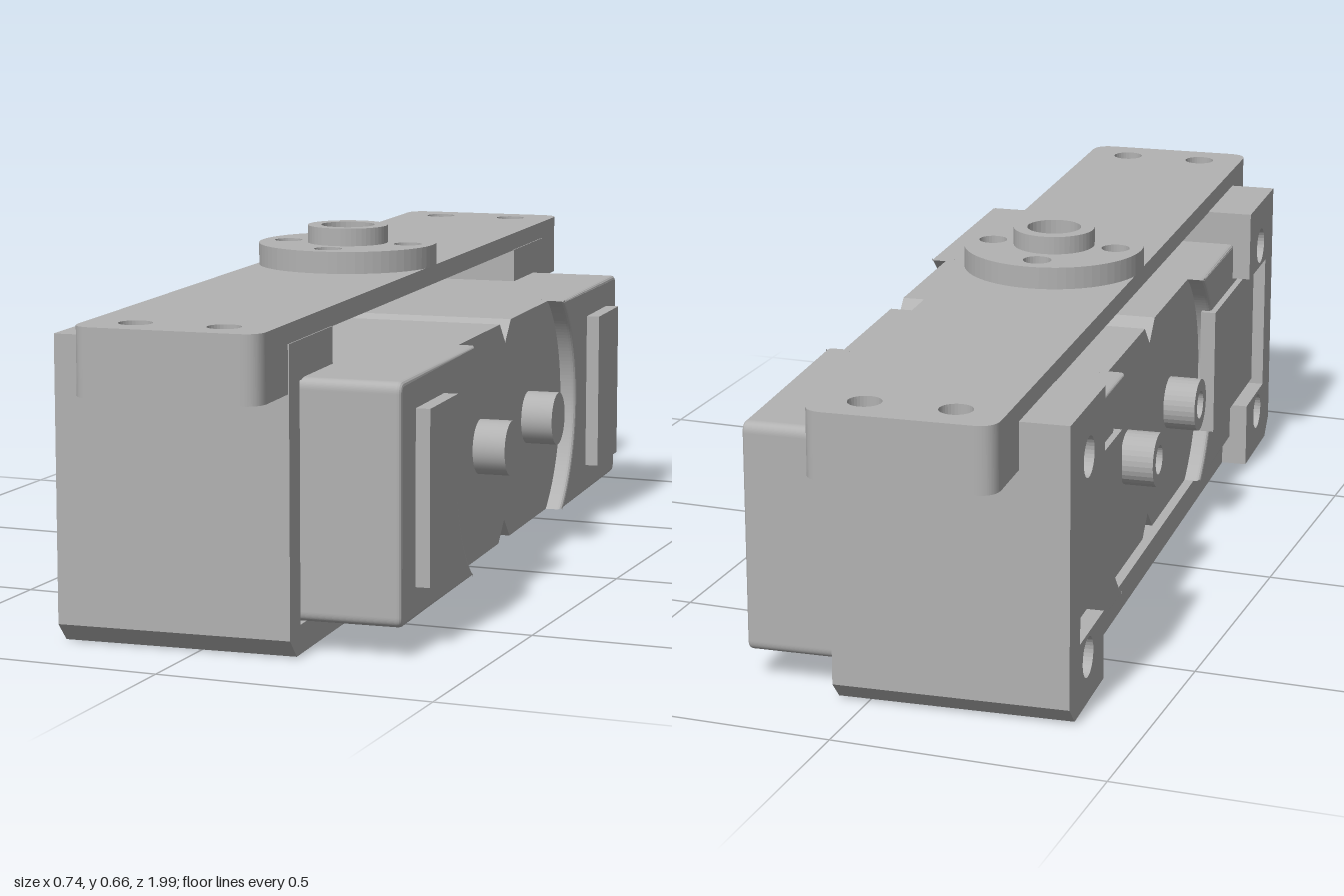
import * as THREE from 'three';

const grey = new THREE.MeshStandardMaterial({ color: 0xb2b2b2 });
grey.name = 'plainGrey';

const poly = pts => new THREE.Shape(pts.map(p => new THREE.Vector2(p[0], p[1])));
const circle = (x, y, r, sides = 32, turn = 0) => {
  const pts = [];
  for (let i = 0; i < sides; i++) {
    const a = turn + (i / sides) * Math.PI * 2;
    pts.push(new THREE.Vector2(x + r * Math.cos(a), y + r * Math.sin(a)));
  }
  return pts;
};
const hole = (...args) => new THREE.Path(circle(...args));

// Side profile (z, y) extruded across x from x0 to x1
function across(shape, x0, x1, bevel = 0) {
  const geo = new THREE.ExtrudeGeometry(shape, {
    depth: x1 - x0 - 2 * bevel, bevelEnabled: bevel > 0, bevelSize: bevel,
    bevelThickness: bevel, bevelOffset: -bevel, bevelSegments: 3, curveSegments: 32,
  });
  return geo.rotateY(-Math.PI / 2).translate(x1 - bevel, 0, 0);
}
// Plan outline (x, -z) extruded upwards from y0 to y1
function upward(shape, y0, y1) {
  const geo = new THREE.ExtrudeGeometry(shape, { depth: y1 - y0, bevelEnabled: false, curveSegments: 24 });
  return geo.rotateX(-Math.PI / 2).translate(0, y0, 0);
}
function add(parent, name, geo) {
  const mesh = new THREE.Mesh(geo, grey);
  mesh.name = name;
  parent.add(mesh);
  return mesh;
}

// Key sizes
const MID = 0.269, HALF = 0.214, END = 0.785;   // inner case
const SHAFT_Z = 0.175, LOBE = 0.26;             // shafts and round recess
const HX = -0.054;                              // hub centre
const BL = -0.223, BR = 0.115, BE = 0.988;      // top bar

function makeCradle(g) {
  // Cradle with floor, end walls and shoulders under the bar
  const half = [[0.81, 0], [0.845, 0.035], [0.845, 0.55], [0.61, 0.55], [0.61, 0.48], [0.79, 0.48], [0.79, 0.052]];
  const other = half.map(p => [-p[0], p[1]]).reverse();
  add(g, 'cradle', across(poly([...half, ...other]), -0.262, 0.117));

  // Screw lugs with a notch between the upper and lower ear
  for (const s of [1, -1]) {
    const pts = [[0.61, 0], [0.81, 0], [0.845, 0.035], [0.845, 0.55], [0.61, 0.55],
      [0.61, 0.41], [0.775, 0.41], [0.775, 0.13], [0.61, 0.13]].map(p => [p[0] * s, p[1]]);
    const shape = poly(s > 0 ? pts : pts.reverse());
    shape.holes.push(hole(0.72 * s, 0.455, 0.037), hole(0.72 * s, 0.085, 0.037));
    add(g, 'screwLugs', across(shape, -0.313, -0.262));
  }
}

function makeCase(g) {
  // Core with rounded corners and V grooves at the middle
  const r = 0.02, v = 0.04;
  const core = new THREE.Shape();
  core.moveTo(-END + r, -HALF);
  core.lineTo(-v, -HALF);
  core.lineTo(0, -HALF + v);
  core.lineTo(v, -HALF);
  core.lineTo(END - r, -HALF);
  core.quadraticCurveTo(END, -HALF, END, -HALF + r);
  core.lineTo(END, HALF - r);
  core.quadraticCurveTo(END, HALF, END - r, HALF);
  core.lineTo(v, HALF);
  core.lineTo(0, HALF - v);
  core.lineTo(-v, HALF);
  core.lineTo(-END + r, HALF);
  core.quadraticCurveTo(-END, HALF, -END, HALF - r);
  core.lineTo(-END, -HALF + r);
  core.quadraticCurveTo(-END, -HALF, -END + r, -HALF);
  add(g, 'caseCore', across(core, -0.245, 0.265)).position.y = MID;

  // Raised end covers, each bitten by a round lobe
  const a = Math.asin(HALF / LOBE), zb = SHAFT_Z + LOBE * Math.cos(a);
  const cover = new THREE.Shape();
  cover.moveTo(zb, -HALF);
  cover.lineTo(END - r, -HALF);
  cover.quadraticCurveTo(END, -HALF, END, -HALF + r);
  cover.lineTo(END, HALF - r);
  cover.quadraticCurveTo(END, HALF, END - r, HALF);
  cover.lineTo(zb, HALF);
  cover.absarc(SHAFT_Z, 0, LOBE, a, -a, true);
  const coverGeo = across(cover, 0.25, 0.297, 0.008);
  for (const side of [1, -1]) {
    const covers = new THREE.Group();
    covers.name = 'endCovers';
    covers.position.set(side > 0 ? 0 : 0.02, MID, 0);
    covers.rotation.y = side > 0 ? 0 : Math.PI;
    for (const turn of [0, Math.PI]) add(covers, 'endCover', coverGeo).rotation.x = turn;
    g.add(covers);
  }

  for (const s of [1, -1]) {
    // Pads on both sides
    const pad = add(g, 'rightPad', new THREE.BoxGeometry(0.04, 0.315, 0.172));
    pad.position.set(0.303, MID, 0.613 * s);
    const inner = add(g, 'leftPad', new THREE.BoxGeometry(0.03, 0.255, 0.38));
    inner.position.set(-0.274, MID, 0.58 * s);

    // Solid shafts on the right, hollow ones on the left
    const shaft = add(g, 'rightShaft', new THREE.CylinderGeometry(0.052, 0.052, 0.08, 32));
    shaft.rotation.z = Math.PI / 2;
    shaft.position.set(0.287, MID, SHAFT_Z * s);
    const ring = new THREE.Shape(circle(SHAFT_Z * s, MID, 0.052));
    ring.holes.push(hole(SHAFT_Z * s, MID, 0.028));
    add(g, 'leftShaft', across(ring, -0.308, -0.24));
  }
}

// Bar outline with rounded outer corners; z0 is its inner end
function barOutline(z0, r) {
  const s = new THREE.Shape();
  s.moveTo(BL, z0);
  if (z0 < 0) {
    s.moveTo(BL + r, -BE);
    s.lineTo(BR - r, -BE);
    s.quadraticCurveTo(BR, -BE, BR, -BE + r);
  } else s.lineTo(BR, z0);
  s.lineTo(BR, BE - r);
  s.quadraticCurveTo(BR, BE, BR - r, BE);
  s.lineTo(BL + r, BE);
  s.quadraticCurveTo(BL, BE, BL, BE - r);
  if (z0 < 0) {
    s.lineTo(BL, -BE + r);
    s.quadraticCurveTo(BL, -BE, BL + r, -BE);
  } else s.lineTo(BL, z0);
  return s;
}

function makeBar(g) {
  const hubHoles = [0, 1, 2, 3].map(i => [HX + 0.122 * Math.cos(i * Math.PI / 2), 0.122 * Math.sin(i * Math.PI / 2)]);
  const boltX = [HX - 0.08, HX + 0.08];

  // Thin bar with bolt and hub holes
  const bar = barOutline(-BE, 0.04);
  for (const x of boltX) for (const s of [1, -1]) bar.holes.push(hole(x, 0.912 * s, 0.03));
  for (const p of hubHoles) bar.holes.push(hole(p[0], p[1], 0.027));
  bar.holes.push(hole(HX, 0, 0.031));
  add(g, 'topBar', upward(bar, 0.549, 0.585));

  // Thick end blocks with hexagonal nut pockets underneath
  const block = barOutline(0.843, 0.04);
  for (const x of boltX) block.holes.push(hole(x, 0.912, 0.046, 6));
  const blockGeo = upward(block, 0.464, 0.549);
  add(g, 'endBlock', blockGeo);
  const back = add(g, 'endBlock', blockGeo);
  back.rotation.y = Math.PI;
  back.position.x = 2 * HX;

  // Hub flange, boss and its counterbore
  const flange = new THREE.Shape(circle(HX, 0, 0.173, 64));
  for (const p of hubHoles) flange.holes.push(hole(p[0], p[1], 0.027));
  flange.holes.push(hole(HX, 0, 0.031));
  add(g, 'hubFlange', upward(flange, 0.585, 0.627));
  const boss = new THREE.Shape(circle(HX, 0, 0.078, 48));
  boss.holes.push(hole(HX, 0, 0.052));
  add(g, 'hubBoss', upward(boss, 0.627, 0.661));
}

export function createModel() {
  const model = new THREE.Group();
  model.name = 'actuatorUnit';
  const unit = new THREE.Group();
  unit.name = 'unit';
  makeCradle(unit);
  makeCase(unit);
  makeBar(unit);
  // The whole unit stands slightly turned
  unit.rotation.y = 0.0706;
  model.add(unit);
  return model;
}
